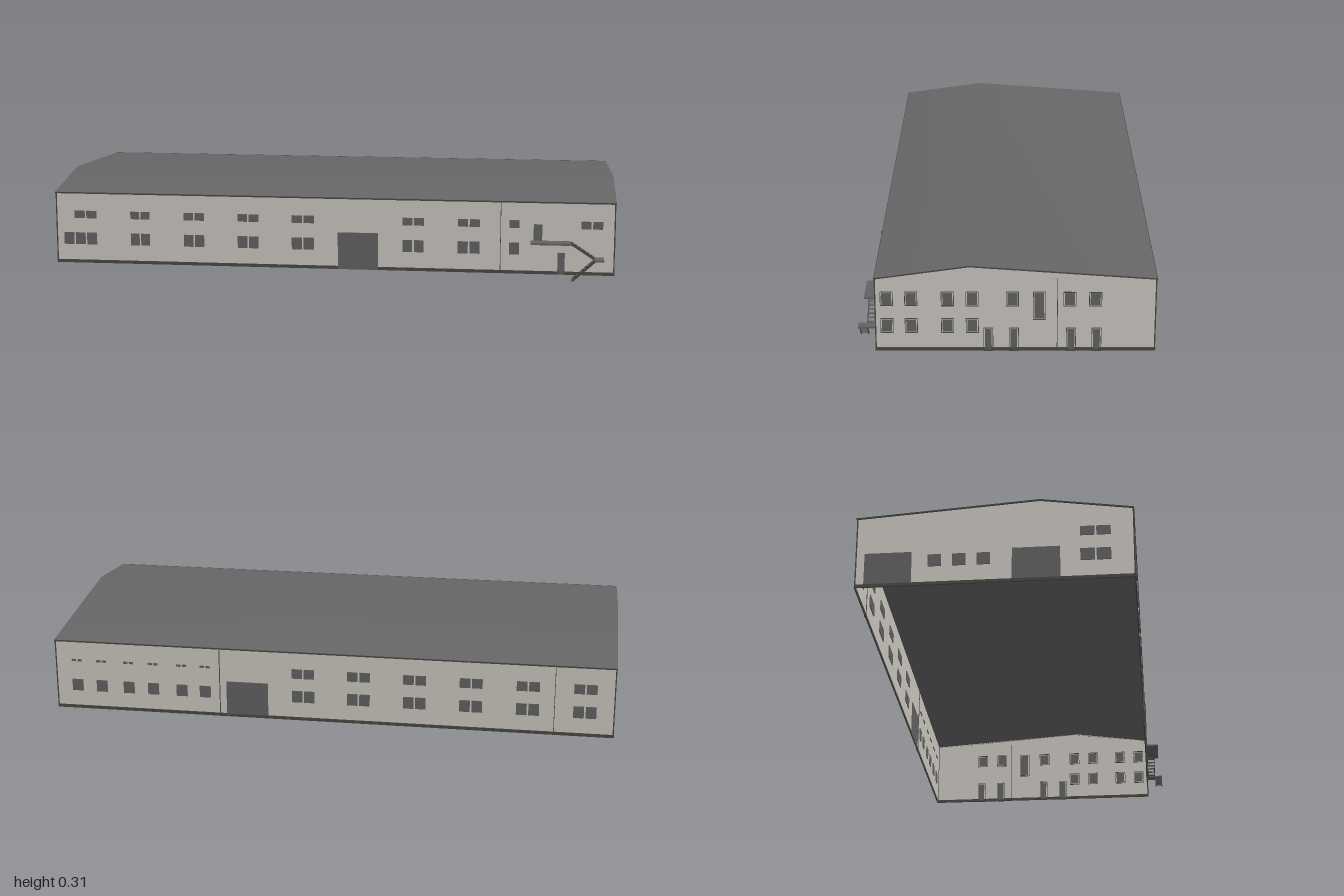
import * as THREE from 'three';

const mat = (name, color, side = THREE.FrontSide) => {
  const m = new THREE.MeshStandardMaterial({ color, side });
  m.name = name;
  return m;
};

export function createModel() {
  const wallMat = mat('pale render', 0xcbc7c0, THREE.DoubleSide);
  const roofMat = mat('roof grey', 0x666666, THREE.DoubleSide);
  const glassMat = mat('opening grey', 0x626262);
  const trimMat = mat('dark trim', 0x484844);

  const root = new THREE.Group();
  root.name = 'warehouse';
  const X = 0.996, ZF = 0.425, ZB = -0.483, Y0 = 0.012, EAVE = 0.27, RIDGE = 0.312, ZR = 0.12;

  const box = (parent, name, m, w, h, d, x, y, z) => {
    const b = new THREE.Mesh(new THREE.BoxGeometry(w, h, d), m);
    b.name = name;
    b.position.set(x, y, z);
    parent.add(b);
    return b;
  };

  // Wall groups: local x runs along the wall, local +z points outwards
  const wall = (name, pts, x, z, angle) => {
    const g = new THREE.Group();
    g.name = name;
    g.position.set(x, 0, z);
    g.rotation.y = angle;
    const shape = new THREE.Shape(pts.map(([a, b]) => new THREE.Vector2(a, b)));
    const panel = new THREE.Mesh(new THREE.ShapeGeometry(shape), wallMat);
    panel.name = name + 'Panel';
    g.add(panel);
    const us = pts.map(p => p[0]), a = Math.min(...us), b = Math.max(...us);
    box(g, 'plinth', trimMat, b - a, 0.011, 0.004, (a + b) / 2, Y0 + 0.0055, 0.001);
    for (const u of [a, b]) box(g, 'cornerTrim', trimMat, 0.004, EAVE - Y0, 0.004, u, (EAVE + Y0) / 2, 0);
    root.add(g);
    return g;
  };
  const long = [[-X, Y0], [X, Y0], [X, EAVE], [-X, EAVE]];
  const gable = s => [[s * ZF, Y0], [s * ZB, Y0], [s * ZB, EAVE], [s * ZR, RIDGE], [s * ZF, EAVE]];
  const front = wall('frontWall', long, 0, ZF, 0);
  const back = wall('backWall', long, 0, ZB, Math.PI);
  const right = wall('leftGable', gable(-1), X, 0, Math.PI / 2);
  const left = wall('rightGable', gable(1), -X, 0, -Math.PI / 2);

  // Opening split into n panes
  const opening = (g, name, u0, u1, y0, y1, n = 1) => {
    const gap = 0.006, w = (u1 - u0 - gap * (n - 1)) / n;
    for (let i = 0; i < n; i++)
      box(g, name, glassMat, w, y1 - y0, 0.006, u0 + w / 2 + i * (w + gap), (y0 + y1) / 2, 0);
  };
  // Slim outline around an opening
  const outline = (g, u0, u1, y0, y1) => {
    const t = 0.002, u = (u0 + u1) / 2, y = (y0 + y1) / 2;
    for (const e of [u0, u1]) box(g, 'frame', trimMat, t, y1 - y0, 0.007, e, y, 0);
    for (const e of [y0, y1]) box(g, 'frame', trimMat, u1 - u0, t, 0.007, u, e, 0);
  };
  const seam = (g, u) => box(g, 'wallSeam', trimMat, 0.002, EAVE - Y0, 0.008, u, (EAVE + Y0) / 2, 0.002);

  // Front openings
  for (const [a, b] of [[-0.725, -0.655], [-0.53, -0.457], [-0.335, -0.26], [-0.14, -0.06], [0.255, 0.33], [0.45, 0.527]]) {
    opening(front, 'upperWindow', a, b, 0.176, 0.203, 2);
    opening(front, 'lowerWindow', a, b, 0.08, 0.123, 2);
  }
  opening(front, 'upperWindow', -0.93, -0.85, 0.176, 0.203, 2);
  opening(front, 'lowerWindow', -0.97, -0.85, 0.08, 0.123, 3);
  opening(front, 'upperWindow', 0.63, 0.665, 0.176, 0.203);
  opening(front, 'lowerWindow', 0.63, 0.665, 0.08, 0.123);
  opening(front, 'upperWindow', 0.88, 0.955, 0.176, 0.203, 2);
  opening(front, 'frontGate', 0.025, 0.168, Y0, 0.145);
  opening(front, 'upperDoor', 0.715, 0.745, 0.13, 0.19);
  opening(front, 'lowerDoor', 0.8, 0.825, Y0, 0.09);
  seam(front, 0.6);

  // Back openings
  for (const x of [0.92, 0.83, 0.73, 0.64, 0.535, 0.45]) {
    opening(back, 'lowerWindow', -x - 0.02, -x + 0.02, 0.08, 0.123);
    opening(back, 'upperVent', -x - 0.018, -x + 0.018, 0.192, 0.2, 2);
  }
  for (let i = 0; i < 6; i++) {
    const u = -0.095 + i * 0.198;
    opening(back, 'upperWindow', u - 0.04, u + 0.04, 0.17, 0.205, 2);
    opening(back, 'lowerWindow', u - 0.04, u + 0.04, 0.08, 0.123, 2);
  }
  opening(back, 'backGate', -0.372, -0.222, Y0, 0.145);
  seam(back, -0.396);
  seam(back, 0.79);

  // Gable on the stair end (local x is -z)
  const framed = (name, z, w, y0, y1) => {
    opening(right, name, -z - w / 2 + 0.004, -z + w / 2 - 0.004, y0 + 0.004, y1 - 0.004);
    outline(right, -z - w / 2, -z + w / 2, y0, y1);
  };
  for (const z of [0.388, 0.309, 0.191, 0.111, -0.019, -0.205, -0.288]) framed('upperWindow', z, 0.04, 0.172, 0.22);
  for (const z of [0.388, 0.309, 0.191, 0.111]) framed('lowerWindow', z, 0.04, 0.077, 0.126);
  framed('upperDoor', -0.106, 0.038, 0.123, 0.22);
  for (const z of [0.059, -0.024, -0.21, -0.293]) framed('door', z, 0.03, Y0, 0.093);
  seam(right, 0.165);

  // Opposite gable (local x is z)
  opening(left, 'gate', -0.455, -0.3, Y0, 0.135);
  opening(left, 'gate', 0.028, 0.185, Y0, 0.135);
  for (const z of [-0.225, -0.145, -0.065]) opening(left, 'lowerWindow', z - 0.022, z + 0.022, 0.08, 0.123);
  opening(left, 'lowerWindow', 0.25, 0.35, 0.08, 0.123, 2);
  opening(left, 'upperWindow', 0.25, 0.35, 0.172, 0.205, 2);

  // Roof sheet with softly shaded ridge
  const rp = [[0.428, EAVE], [ZR, RIDGE + 0.001], [-0.487, EAVE]];
  const roofGeo = new THREE.BufferGeometry();
  roofGeo.setAttribute('position', new THREE.Float32BufferAttribute(rp.flatMap(([z, y]) => [-1, y, z, 1, y, z]), 3));
  roofGeo.setIndex([0, 1, 3, 0, 3, 2, 2, 3, 5, 2, 5, 4]);
  roofGeo.computeVertexNormals();
  const roof = new THREE.Mesh(roofGeo, roofMat);
  roof.name = 'roof';
  root.add(roof);
  // Eave and verge trims
  for (const z of [0.427, -0.486]) box(root, 'eaveTrim', trimMat, 2, 0.005, 0.002, 0, EAVE - 0.002, z);
  for (const x of [-0.998, 0.998]) for (let i = 0; i < 2; i++) {
    const [z0, y0] = rp[i], [z1, y1] = rp[i + 1];
    const v = box(root, 'vergeTrim', trimMat, 0.004, 0.004, Math.hypot(z1 - z0, y1 - y0), x, (y0 + y1) / 2 - 0.003, (z0 + z1) / 2);
    v.rotation.x = Math.atan2(y1 - y0, z0 - z1);
  }

  // Outside stair: landing, two flights and a turning platform
  const stair = new THREE.Group();
  stair.name = 'outsideStair';
  root.add(stair);
  box(stair, 'upperLanding', glassMat, 0.14, 0.006, 0.05, 0.775, 0.129, 0.45);
  box(stair, 'turningPlatform', glassMat, 0.035, 0.005, 0.06, 0.942, 0.075, 0.457);
  const flight = (x0, y0, x1, y1, za, zb) => {
    const len = Math.hypot(x1 - x0, y1 - y0), n = 6;
    for (const z of [za, zb]) {
      const s = box(stair, 'stringer', trimMat, len, 0.007, 0.003, (x0 + x1) / 2, (y0 + y1) / 2, z);
      s.rotation.z = Math.atan2(y1 - y0, x1 - x0);
    }
    for (let i = 0; i < n; i++) {
      const t = (i + 0.5) / n;
      box(stair, 'tread', glassMat, 0.011, 0.002, zb - za, x0 + (x1 - x0) * t, y0 + (y1 - y0) * t, (za + zb) / 2);
    }
  };
  flight(0.845, 0.129, 0.928, 0.075, 0.429, 0.457);
  flight(0.928, 0.075, 0.85, 0.004, 0.461, 0.486);
  return root;
}
